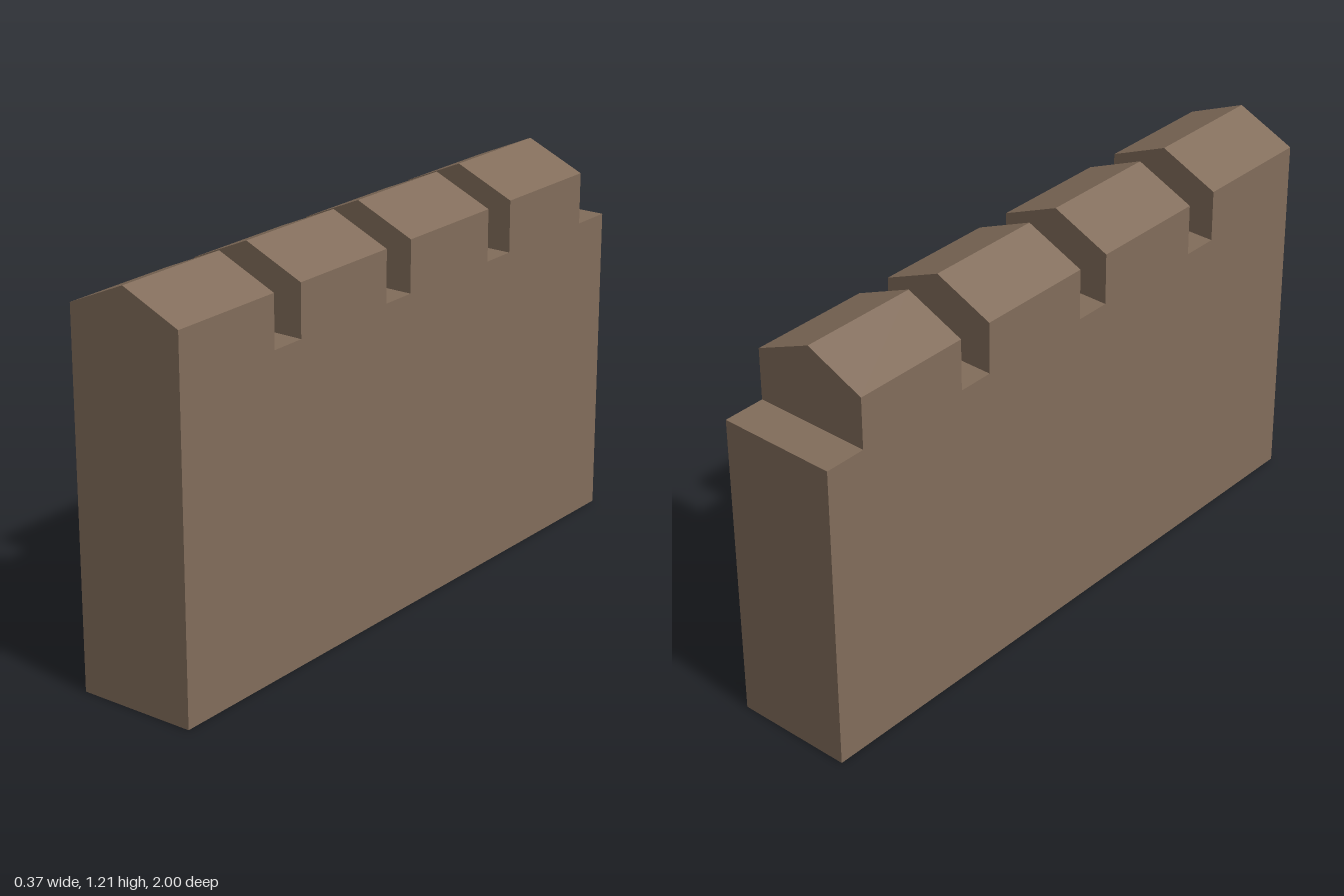
import * as THREE from 'three';

const HALF_WIDTH = 0.187;
const WALK_Y = 0.97;     // floor of the gaps
const EAVE_Y = 1.13;     // where the merlon caps begin to slope
const RIDGE_Y = 1.212;
const MERLON_LENGTH = 0.382;
const PITCH = 0.495;     // merlon plus gap

export function createModel() {
  const model = new THREE.Group();
  model.name = 'battlementWall';

  const stone = new THREE.MeshStandardMaterial({ color: 0x826d5b });
  stone.name = 'brownStone';

  // Solid wall up to the floor of the gaps
  const wall = new THREE.Mesh(new THREE.BoxGeometry(HALF_WIDTH * 2, WALK_Y, 2), stone);
  wall.name = 'wallBody';
  wall.position.y = WALK_Y / 2;
  model.add(wall);

  // Gabled merlon cross-section, extruded along the wall
  const profile = new THREE.Shape([
    new THREE.Vector2(-HALF_WIDTH, WALK_Y),
    new THREE.Vector2(HALF_WIDTH, WALK_Y),
    new THREE.Vector2(HALF_WIDTH, EAVE_Y),
    new THREE.Vector2(0, RIDGE_Y),
    new THREE.Vector2(-HALF_WIDTH, EAVE_Y),
  ]);
  const merlonGeometry = new THREE.ExtrudeGeometry(profile, {
    depth: MERLON_LENGTH,
    bevelEnabled: false,
  });

  // Four merlons from the front, leaving a gap at the back end
  for (let i = 0; i < 4; i++) {
    const merlon = new THREE.Mesh(merlonGeometry, stone);
    merlon.name = `merlon${i + 1}`;
    merlon.position.z = 1 - MERLON_LENGTH - i * PITCH;
    model.add(merlon);
  }

  return model;
}
